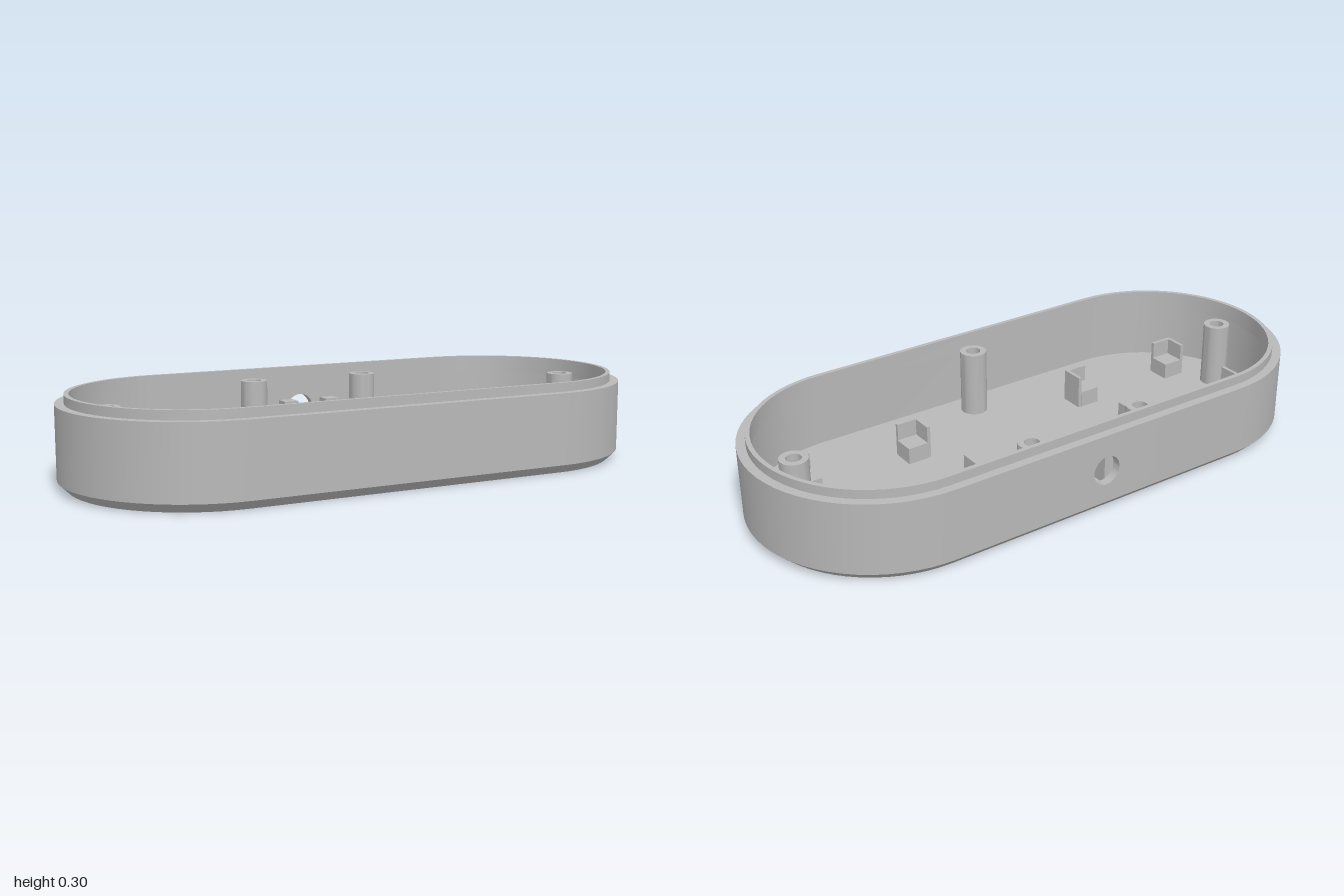
import * as THREE from 'three';
import { toCreasedNormals } from 'three/addons/utils/BufferGeometryUtils.js';

const CX = 0.56, R = 0.44, FLOOR = 0.04, ARC = 32;
const screws = [[-0.855, 0], [0.855, 0], [-0.214, -0.335], [0.214, -0.335], [0, 0.32]];

// Sweeps a profile of [inset, y] points round the rounded outline, leaving a gap at the back centre
function sweep(profile, gap = 0) {
  const path = [[gap, -Math.PI / 2]];
  for (const side of [0, 1]) {
    for (let i = 0; i <= ARC; i++) {
      path.push([side ? -CX : CX, -Math.PI / 2 + Math.PI * (side + i / ARC)]);
    }
  }
  path.push([-gap, Math.PI * 1.5]);
  const pos = [], index = [], n = profile.length;
  path.forEach(([cx, a], i) => profile.forEach(([inset, y], j) => {
    pos.push(cx + Math.cos(a) * (R - inset), y, Math.sin(a) * (R - inset));
    if (i < path.length - 1 && j < n - 1) {
      const k = i * n + j;
      index.push(k, k + 1, k + n, k + 1, k + n + 1, k + n);
    }
  }));
  const g = new THREE.BufferGeometry();
  g.setAttribute('position', new THREE.Float32BufferAttribute(pos, 3));
  g.setIndex(index);
  return toCreasedNormals(g, 0.5);
}

// Flat floor sheet with screw holes, facing up (1) or down (-1)
function floorSheet(holeRadius, facing) {
  const r = R - 0.03;
  const s = new THREE.Shape();
  s.absarc(CX, 0, r, -Math.PI / 2, Math.PI / 2, false);
  s.absarc(-CX, 0, r, Math.PI / 2, Math.PI * 1.5, false);
  s.closePath();
  for (const [x, z] of screws) {
    s.holes.push(new THREE.Path().absarc(x, -facing * z, holeRadius, 0, Math.PI * 2, true));
  }
  return new THREE.ShapeGeometry(s, ARC).rotateX(-facing * Math.PI / 2);
}

export function createModel() {
  const model = new THREE.Group();
  model.name = 'enclosureBase';
  const grey = new THREE.MeshStandardMaterial({ color: 0xb8b8b8 });
  grey.name = 'grey plastic';

  const add = (name, geometry, x = 0, y = 0, z = 0) => {
    const m = new THREE.Mesh(geometry, grey);
    m.name = name;
    m.position.set(x, y, z);
    model.add(m);
    return m;
  };
  // Box given by its corner ranges
  const block = (name, x0, x1, y0, y1, z0, z1) =>
    add(name, new THREE.BoxGeometry(Math.abs(x1 - x0), y1 - y0, Math.abs(z1 - z0)),
      (x0 + x1) / 2, (y0 + y1) / 2, (z0 + z1) / 2);

  // Shell: chamfered foot, wall, and raised lip
  add('chamferedFoot', sweep([[0.03, 0], [0, 0.03], [0, FLOOR]]));
  add('wall', sweep([[0, FLOOR], [0, 0.27], [0.03, 0.27], [0.03, FLOOR]], 0.1));
  add('lip', sweep([[0.03, 0.27], [0.03, 0.3], [0.045, 0.3], [0.045, 0.24], [0.03, 0.24]]));
  add('floorTop', floorSheet(0.045, 1), 0, FLOOR, 0);
  add('floorUnderside', floorSheet(0.037, -1));

  // Back wall section with the round cable hole
  const panel = new THREE.Shape();
  panel.moveTo(-0.1, FLOOR);
  panel.lineTo(0.1, FLOOR);
  panel.lineTo(0.1, 0.27);
  panel.lineTo(-0.1, 0.27);
  panel.closePath();
  panel.holes.push(new THREE.Path().absarc(0, 0.145, 0.05, 0, Math.PI * 2, true));
  add('backWallWithCableHole', toCreasedNormals(new THREE.ExtrudeGeometry(panel,
    { depth: 0.03, bevelEnabled: false, curveSegments: 24 }), 0.5), 0, 0, -R);

  // Hollow screw posts, counterbored from below
  const postProfile = [[0.046, FLOOR], [0.046, 0.268], [0.025, 0.268], [0.025, 0.035],
    [0.037, 0.035], [0.037, 0]].map(([r, y]) => new THREE.Vector2(r, y));
  const post = toCreasedNormals(new THREE.LatheGeometry(postProfile, 32), 0.5);
  for (const [x, z] of screws) add('screwPost', post, x, 0, z);

  // Pair of cable guide pegs
  for (const s of [-1, 1]) block('guidePeg', s * 0.055, s * 0.107, FLOOR, 0.187, -0.361, -0.309);

  // Board corner supports: a rest block inside an L-shaped wall
  for (const cx of [-0.555, 0.555]) {
    for (const sx of [-1, 1]) {
      for (const sz of [-1, 1]) {
        const X = d => cx + sx * d;
        block('boardRest', X(0.16), X(0.233), FLOOR, 0.097, sz * 0.11, sz * 0.183);
        block('cornerSideWall', X(0.233), X(0.245), FLOOR, 0.155, sz * 0.112, sz * 0.195);
        block('cornerEndWall', X(0.162), X(0.233), FLOOR, 0.155, sz * 0.183, sz * 0.195);
      }
    }
  }
  return model;
}
